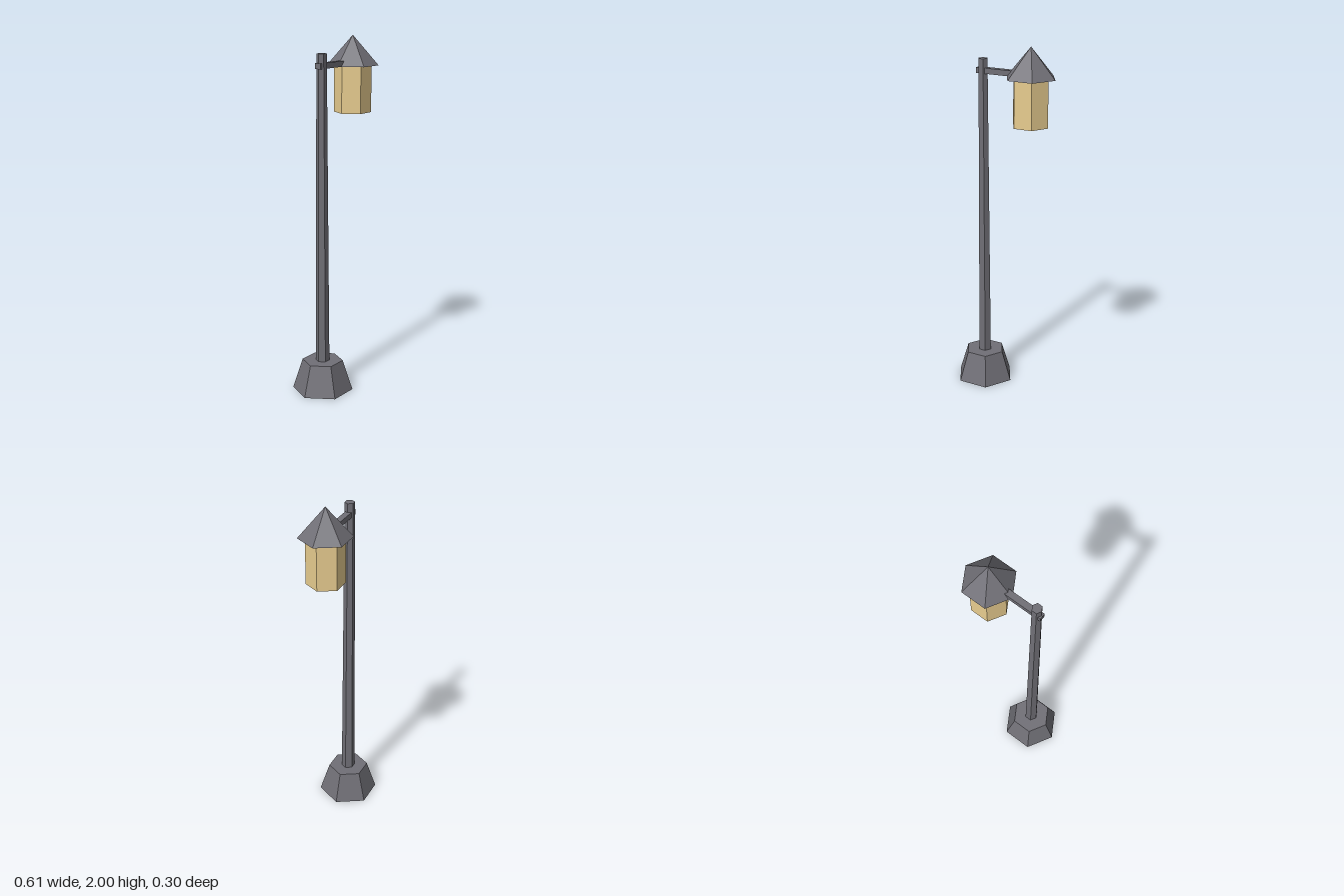
import * as THREE from 'three';

export function createModel() {
  const group = new THREE.Group();
  const iron = new THREE.MeshStandardMaterial({ name: 'dark iron', color: 0x706f76, flatShading: true });
  const glass = new THREE.MeshStandardMaterial({ name: 'warm glass', color: 0xefd394, flatShading: true });

  const postX = -0.132;
  const lampX = 0.159;

  function add(name, geometry, material) {
    const mesh = new THREE.Mesh(geometry, material);
    mesh.name = name;
    group.add(mesh);
  }

  // Six-sided prism or frustum with corners pointing along x
  function hexagon(rTop, rBottom, y0, y1, x) {
    return new THREE.CylinderGeometry(rTop, rBottom, y1 - y0, 6)
      .rotateY(Math.PI / 2)
      .translate(x, (y0 + y1) / 2, 0);
  }

  // Post on its tapered foot
  add('base', hexagon(0.116, 0.172, 0, 0.175, postX), iron);
  add('post', hexagon(0.028, 0.039, 0.16, 1.915, postX), iron);

  // Arm passing through the post and into the roof
  const armStart = -0.166;
  add('arm', new THREE.BoxGeometry(lampX - armStart, 0.031, 0.035)
    .translate((armStart + lampX) / 2, 1.8495, 0), iron);

  // Lantern
  add('lantern', hexagon(0.105, 0.105, 1.572, 1.834, lampX), glass);
  const roof = new THREE.ConeGeometry(0.145, 0.167, 6)
    .rotateY(Math.PI / 2)
    .translate(lampX, 1.833 + 0.167 / 2, 0);
  add('lanternRoof', roof, iron);

  return group;
}
